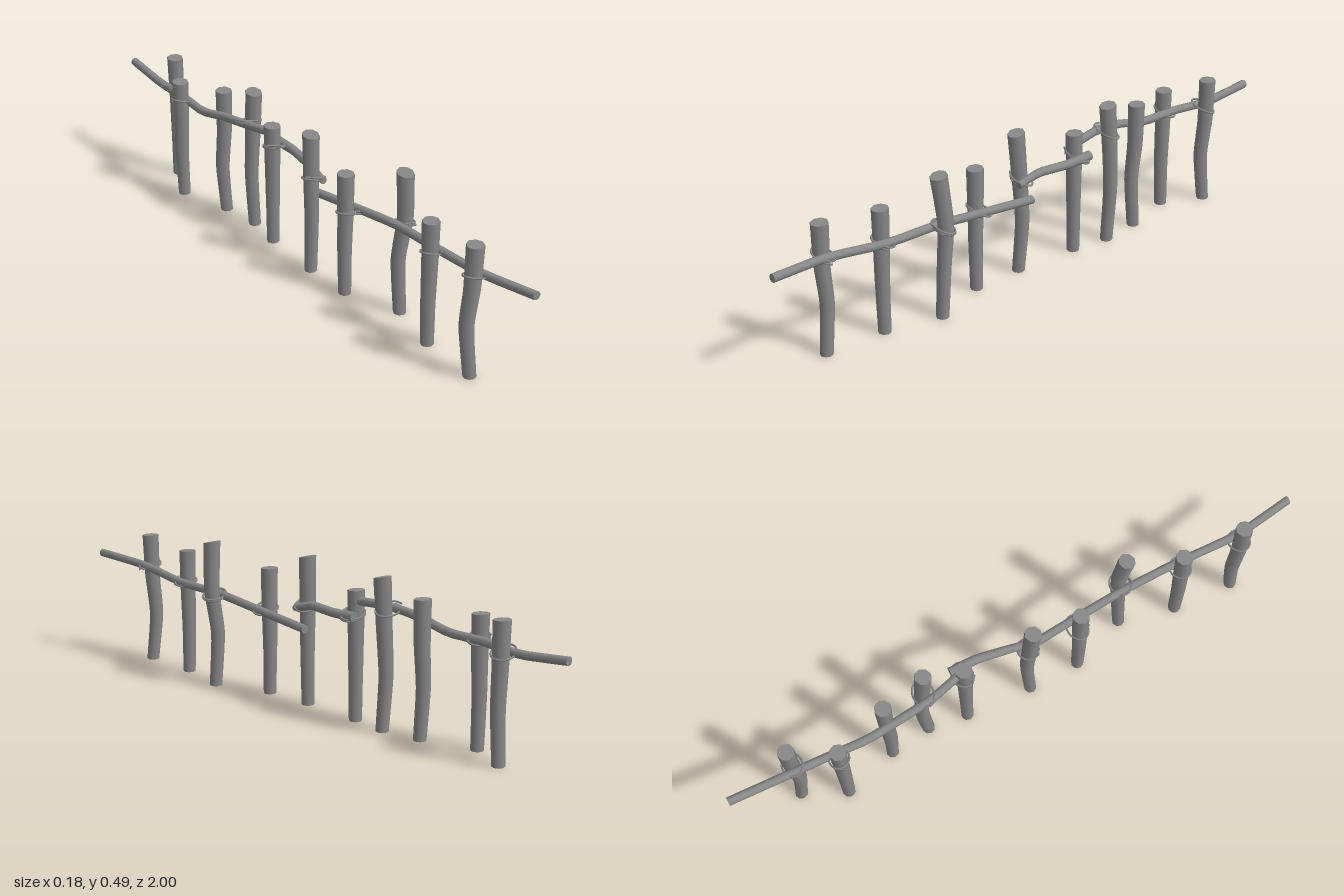
import * as THREE from 'three';

const material = new THREE.MeshStandardMaterial({ color: 0x888888 });
const V = (x, y, z) => new THREE.Vector3(x, y, z);

function part(name, geometry) {
  const mesh = new THREE.Mesh(geometry, material);
  mesh.name = name;
  return mesh;
}

// Capped round limb: a unit cylinder bent along a curve, rings kept square to the main axis.
function limb(name, points, r0, r1, sides, alongZ, slant = 0) {
  const curve = new THREE.CatmullRomCurve3(points, false, 'catmullrom', 0.3);
  const geo = new THREE.CylinderGeometry(1, 1, 1, sides, 15);
  if (alongZ) geo.rotateX(Math.PI / 2);
  const pos = geo.attributes.position;
  for (let i = 0; i < pos.count; i++) {
    const x = pos.getX(i), y = pos.getY(i), z = pos.getZ(i);
    const t = THREE.MathUtils.clamp((alongZ ? z : y) + 0.5, 0, 1);
    const c = curve.getPoint(t);
    const r = THREE.MathUtils.lerp(r0, r1, t);
    if (alongZ) pos.setXYZ(i, c.x + x * r, c.y + y * r, c.z);
    else pos.setXYZ(i, c.x + x * r, c.y - z * slant * r * t ** 6, c.z + z * r);
  }
  return part(name, geo);
}

// Posts: z, x, height, [mid dx, dz, upper dx, dz, top dx, dz], rope turns
const posts = [
  [0.797, -0.028, 0.44, [-0.006, -0.016, -0.003, -0.003, 0, 0], 1.2],
  [0.59, -0.014, 0.42, [-0.002, 0, 0, 0, 0, 0], 1.2],
  [0.403, 0.034, 0.485, [-0.001, -0.012, 0.018, -0.006, 0.004, 0.006], 2.2],
  [0.211, -0.03, 0.42, [-0.002, 0, 0, 0, 0, 0], 1.1],
  [0.035, -0.03, 0.485, [0.01, -0.008, 0.004, -0.003, -0.003, 0.005], 1.2],
  [-0.19, -0.014, 0.42, [0, 0, 0, 0, 0, 0], 2.1],
  [-0.322, 0.006, 0.485, [0, -0.014, 0.002, -0.007, 0, 0.005], 1.2],
  [-0.462, -0.01, 0.44, [-0.013, 0, -0.002, -0.002, 0, -0.003], 0],
  [-0.645, -0.06, 0.42, [-0.004, 0, -0.002, 0, -0.002, 0], 1.1],
  [-0.782, 0.008, 0.44, [-0.006, 0.012, 0, 0.003, 0, 0], 1.1],
];

// Rails, each listed from its back end to its front end
const rails = [
  { name: 'backRail', r: [0.014, 0.014], pts: [[-0.02, 0.355, -1], [-0.025, 0.338, -0.82], [-0.035, 0.347, -0.68],
    [-0.044, 0.345, -0.54], [-0.043, 0.372, -0.42], [-0.035, 0.385, -0.31], [-0.01, 0.388, -0.21]] },
  { name: 'middleRail', r: [0.016, 0.012], pts: [[0.026, 0.346, -0.22], [0.026, 0.344, -0.13], [0.008, 0.343, -0.03],
    [0.003, 0.335, 0.01], [0.002, 0.322, 0.06]] },
  { name: 'frontRail', r: [0.014, 0.0135], pts: [[0.008, 0.26, 0.01], [0.014, 0.285, 0.2], [0.018, 0.31, 0.4],
    [0.016, 0.315, 0.59], [0.0, 0.337, 0.8], [0.021, 0.353, 1]] },
];

// Point on a rail at a given z
function railAt(rail, z) {
  const p = rail.pts;
  let i = 0;
  while (i < p.length - 2 && p[i + 1][2] < z) i++;
  const t = (z - p[i][2]) / (p[i + 1][2] - p[i][2]);
  return V(...p[i]).lerp(V(...p[i + 1]), t);
}

// Tilted rope wound round a post and the rail beside it, with loose ends
function rope(px, z, rail, turns, index) {
  const x0 = Math.min(px - 0.029, rail.x - 0.018), x1 = Math.max(px + 0.029, rail.x + 0.018);
  const cx = (x0 + x1) / 2, rx = (x1 - x0) / 2;
  const n = Math.round(turns * 16);
  const pts = [];
  for (let i = 0; i <= n; i++) {
    const a = (i / 16) * Math.PI * 2 + index * 0.4;
    const loose = i === 0 || i === n ? 1.15 : 1.02;
    const y = rail.y - 0.012 * Math.cos(a + 0.6) + (i / n - 0.5) * 0.01;
    pts.push(V(cx + Math.cos(a) * rx * loose, y, z + Math.sin(a) * 0.031 * loose));
  }
  return part('rope', new THREE.TubeGeometry(new THREE.CatmullRomCurve3(pts), n * 3, 0.0032, 6));
}

export function createModel() {
  const fence = new THREE.Group();
  fence.name = 'fence';

  for (const { name, r, pts } of rails) {
    fence.add(limb(name, pts.map((p) => V(...p)), r[0], r[1], 10, true));
  }

  posts.forEach(([z, x, h, b, turns], i) => {
    const path = [V(x, 0, z), V(x + b[0], h * 0.37, z + b[1]), V(x + b[2], h * 0.67, z + b[3]), V(x + b[4], h, z + b[5])];
    fence.add(limb('post', path, 0.0205, 0.0275, 8, false, h > 0.45 ? 0.22 : 0.05));

    // Tie the post to the rail that passes it
    if (turns) {
      const rail = rails[z > 0.1 ? 2 : z > -0.2 ? 1 : 0];
      fence.add(rope(x + b[2], z + b[3], railAt(rail, z), turns, i));
    }
  });
  return fence;
}
